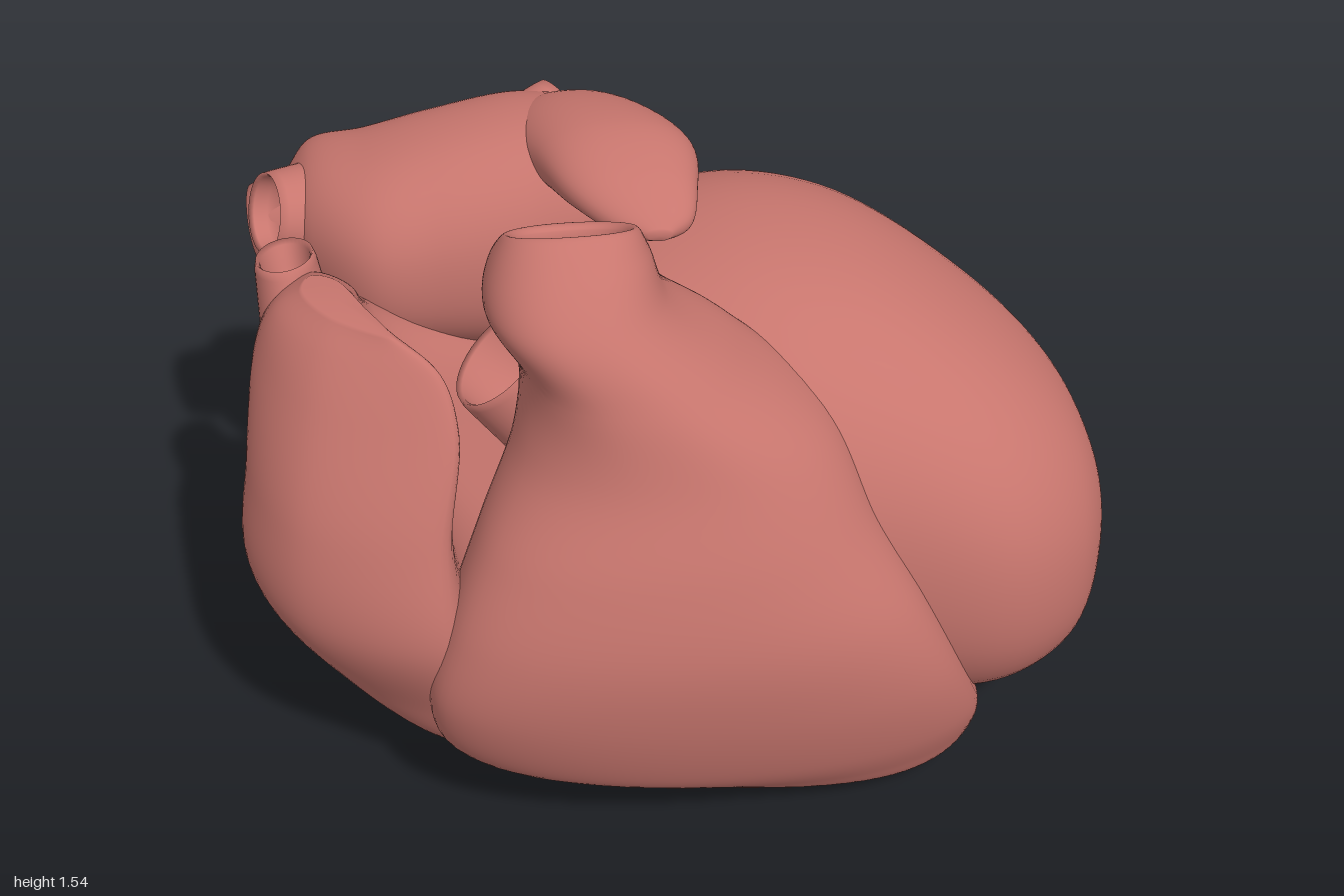
import * as THREE from 'three';

const flesh = new THREE.MeshStandardMaterial({ color: 0xc8766e });
flesh.name = 'muscleRed';

// Oval ring across axis k (0 x, 1 y, 2 z); u and v are the next two axes in cyclic order.
// uMid shifts the widest line, tilt leans the ring along u.
function oval(k, pos, u0, u1, v0, v1, uMid = (u0 + u1) / 2, tilt = 0) {
  const bend = (t) => Math.sign(t) * Math.pow(Math.abs(t), 0.89);
  return Array.from({ length: 24 }, (_, i) => {
    const a = (i / 24) * Math.PI * 2;
    const c = bend(Math.cos(a)), s = bend(Math.sin(a));
    const u = uMid + c * (c > 0 ? u1 - uMid : uMid - u0);
    const p = new THREE.Vector3();
    p.setComponent((k + 1) % 3, u);
    p.setComponent((k + 2) % 3, (v0 + v1) / 2 + (s * (v1 - v0)) / 2);
    p.setComponent(k, pos + tilt * (u - (u0 + u1) / 2));
    return p;
  });
}

// Smooth closed skin through a row of rings, capped at both ends.
function loft(name, rings, around = 72, perSpan = 9) {
  const loops = rings.map((r) => {
    const c = new THREE.CatmullRomCurve3(r, true);
    return Array.from({ length: around }, (_, j) => c.getPoint(j / around));
  });
  const rows = (rings.length - 1) * perSpan + 1;
  const pos = [], index = [];
  const columns = loops[0].map((_, j) => new THREE.CatmullRomCurve3(loops.map((l) => l[j])));
  for (let i = 0; i < rows; i++) {
    for (const col of columns) pos.push(...col.getPoint(i / (rows - 1)).toArray());
  }
  for (let i = 0; i < rows - 1; i++) {
    for (let j = 0; j < around; j++) {
      const a = i * around + j, b = i * around + ((j + 1) % around);
      index.push(a, b, a + around, b, b + around, a + around);
    }
  }
  // end caps
  [loops[0], loops[loops.length - 1]].forEach((loop, end) => {
    const start = end * (rows - 1) * around;
    const mid = loop.reduce((s, p) => s.add(p), new THREE.Vector3()).divideScalar(around);
    const m = pos.length / 3;
    pos.push(...mid.toArray());
    for (let j = 0; j < around; j++) {
      const a = start + j, b = start + ((j + 1) % around);
      if (end) index.push(a, b, m); else index.push(b, a, m);
    }
  });
  const g = new THREE.BufferGeometry();
  g.setAttribute('position', new THREE.Float32BufferAttribute(pos, 3));
  g.setIndex(index);
  g.computeVertexNormals();
  const mesh = new THREE.Mesh(g, flesh);
  mesh.name = name;
  return mesh;
}

// Hollow vessel stub whose mouth sits at the given point and faces along dir, flaring to its root.
function vessel(name, mouth, dir, r, length, depth, flare = 1.25, stretch = 1) {
  const profile = [
    [r * flare, -length], [r * (1 + (flare - 1) * 0.35), -length / 2], [r, -0.02], [r - 0.006, 0],
    [r - 0.014, -0.01], [r - 0.018, -depth * 0.6], [r * 0.6, -depth], [0, -depth],
  ].map(([x, y]) => new THREE.Vector2(x, y));
  const mesh = new THREE.Mesh(new THREE.LatheGeometry(profile, 40), flesh);
  mesh.name = name;
  mesh.position.set(...mouth);
  mesh.quaternion.setFromUnitVectors(new THREE.Vector3(0, 1, 0), new THREE.Vector3(...dir).normalize());
  mesh.scale.z = stretch;
  return mesh;
}

export function createModel() {
  const heart = new THREE.Group();
  heart.name = 'heart';

  // Left ventricle: x, y range, z range
  heart.add(loft('leftVentricle', [
    [-0.36, 0.66, 0.84, -0.17, -0.01],
    [-0.22, 0.33, 1.12, -0.54, 0.27],
    [0.1, 0.14, 1.245, -0.705, 0.44],
    [0.4, 0.1, 1.22, -0.675, 0.5],
    [0.72, 0.12, 1.045, -0.48, 0.51],
    [0.9, 0.21, 0.87, -0.27, 0.4],
    [0.98, 0.34, 0.7, -0.07, 0.25],
    [1.0, 0.48, 0.54, 0.06, 0.12],
  ].map((r) => oval(0, ...r))));

  // Right ventricle rising into the open pulmonary trunk: y, z range, x range, widest z
  const ventricle = [
    [0, 0.17, 0.29, 0.36, 0.5, 0.22],
    [0.012, 0.05, 0.39, 0.18, 0.62, 0.22],
    [0.06, -0.04, 0.49, 0.0, 0.69, 0.22],
    [0.14, -0.05, 0.56, -0.28, 0.7, 0.29],
    [0.25, -0.02, 0.63, -0.56, 0.67, 0.39],
    [0.45, 0.05, 0.69, -0.6, 0.595, 0.48],
    [0.65, 0.1, 0.71, -0.55, 0.505, 0.49],
    [0.85, 0.1, 0.675, -0.47, 0.4, 0.43],
    [1.05, 0.08, 0.605, -0.38, 0.31, 0.33],
    [1.23, 0.08, 0.555, -0.365, 0.11, 0.27],
  ];
  // Trunk, tilted rim, then the inside wall; the last value is the tilt
  const trunk = [
    [1.36, 0.085, 0.5, -0.43, -0.04, 0.28, 0.1],
    [1.45, 0.09, 0.41, -0.41, -0.075, 0.25, 0.25],
    [1.49, 0.12, 0.335, -0.375, -0.1, 0.23, 0.5],
    [1.475, 0.14, 0.32, -0.36, -0.12, 0.23, 0.5],
    [1.3, 0.15, 0.33, -0.35, -0.13, 0.24, 0.2],
  ];
  heart.add(loft('rightVentricleAndPulmonaryTrunk', [...ventricle, ...trunk].map((r) => oval(1, ...r))));

  // Right atrium: height, then (x, z) corners of each section, hollowed on the inner side
  heart.add(loft('rightAtrium', [
    [0.13, [-0.47, 0.18], [-0.52, 0.16], [-0.58, 0.22], [-0.55, 0.3], [-0.48, 0.31], [-0.45, 0.24]],
    [0.2, [-0.4, -0.1], [-0.58, -0.14], [-0.7, 0.11], [-0.63, 0.33], [-0.46, 0.4], [-0.35, 0.17]],
    [0.35, [-0.22, -0.28], [-0.61, -0.34], [-0.86, 0.05], [-0.76, 0.34], [-0.48, 0.45], [-0.35, 0.15]],
    [0.6, [-0.22, -0.34], [-0.68, -0.38], [-0.99, 0.08], [-0.87, 0.4], [-0.53, 0.52], [-0.45, 0.1]],
    [0.85, [-0.36, -0.25], [-0.72, -0.32], [-0.97, 0.08], [-0.86, 0.38], [-0.54, 0.48], [-0.58, 0.1]],
    [1.1, [-0.67, -0.11], [-0.83, -0.22], [-0.93, 0.04], [-0.81, 0.29], [-0.5, 0.4], [-0.67, 0.12]],
    [1.22, [-0.71, -0.02], [-0.8, -0.08], [-0.88, 0.05], [-0.78, 0.23], [-0.53, 0.34], [-0.68, 0.13]],
    [1.285, [-0.74, 0.05], [-0.79, 0.03], [-0.81, 0.08], [-0.75, 0.19], [-0.63, 0.27], [-0.68, 0.16]],
  ].map(([y, ...pts]) => pts.map(([x, z]) => new THREE.Vector3(x, y, z)))));
  heart.add(vessel('upperVenaCava', [-0.85, 1.25, -0.11], [-0.1, 1, -0.2], 0.07, 0.32, 0.1, 1.55, 1.5));
  heart.add(vessel('lowerVenaCava', [-0.66, 0.33, -0.41], [-0.3, -0.75, -0.6], 0.14, 0.22, 0.05, 1.4));
  heart.add(vessel('coronarySinus', [-0.33, 0.5, -0.42], [0.3, -0.2, -0.9], 0.06, 0.14, 0.05, 1.5));

  // Left atrium: x, y range, z range
  heart.add(loft('leftAtrium', [
    [-0.85, 1.03, 1.2, -0.6, -0.38],
    [-0.79, 0.97, 1.28, -0.66, -0.27],
    [-0.66, 0.89, 1.335, -0.65, -0.14],
    [-0.5, 0.86, 1.385, -0.645, -0.12],
    [-0.3, 0.86, 1.425, -0.635, -0.12],
    [-0.17, 0.95, 1.43, -0.54, -0.14],
    [-0.1, 1.08, 1.38, -0.42, -0.2],
  ].map((r) => oval(0, ...r))));

  // Left auricle overhanging the ventricle: z, x range, y range
  heart.add(loft('leftAuricle', [
    [-0.5, -0.3, -0.16, 1.22, 1.36],
    [-0.44, -0.34, -0.03, 1.17, 1.43],
    [-0.2, -0.28, 0.075, 1.285, 1.487],
    [-0.05, -0.22, 0.065, 1.33, 1.46],
    [0.05, -0.13, 0.04, 1.335, 1.41],
    [0.09, -0.06, -0.01, 1.355, 1.38],
  ].map((r) => oval(2, ...r))));

  // Pulmonary veins: mouth, direction, radius, length
  [
    [[-0.93, 1.05, -0.55], [-1, -0.15, -0.1], 0.1, 0.2],
    [[-0.9, 1.18, -0.39], [-0.95, 0.3, 0.35], 0.1, 0.18],
    [[-0.2, 1.36, -0.51], [0.75, 0.4, -0.5], 0.07, 0.16],
    [[-0.25, 1.17, -0.6], [0.7, 0, -0.7], 0.08, 0.16],
  ].forEach((v, i) => heart.add(vessel('pulmonaryVein' + (i + 1), ...v, 0.07, 1.5)));

  // Aorta root between the atria
  heart.add(vessel('aortaRoot', [-0.39, 1.05, 0.05], [-0.65, 0.76, 0], 0.14, 0.4, 0.2));

  return heart;
}
